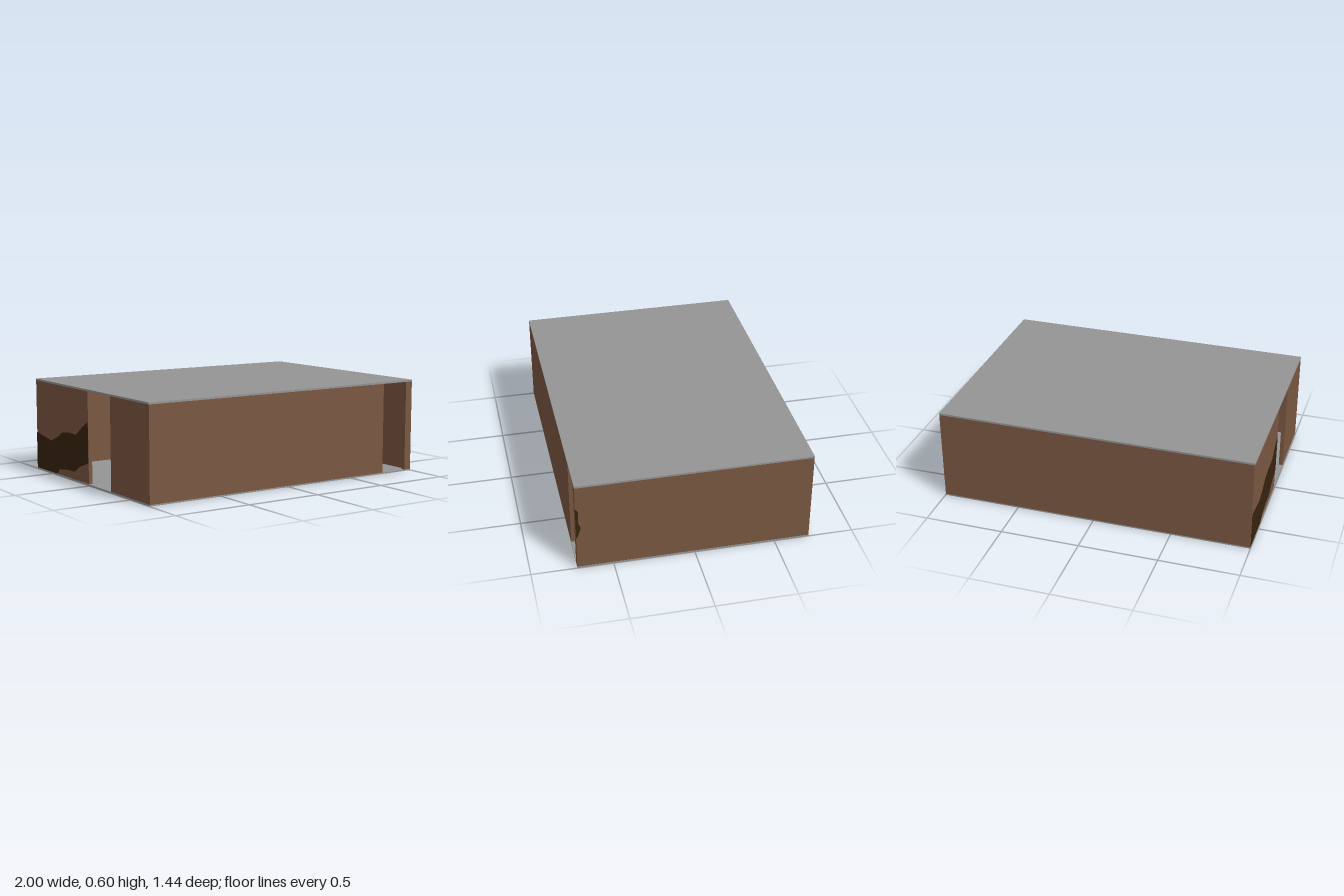
import * as THREE from 'three';

const material = (name, color) => {
  const m = new THREE.MeshStandardMaterial({ color });
  m.name = name;
  return m;
};

export function createModel() {
  const group = new THREE.Group();
  group.name = 'flatRoofedBuilding';
  const brown = material('wall brown', 0x7a5741);
  const grey = material('slab grey', 0x959595);
  const dark = material('stain dark brown', 0x38240f);

  const X = 0.998, Z = 0.72, T = 0.025; // half width, half depth, wall thickness
  const Y0 = 0.009, Y1 = 0.588;         // floor top and roof underside

  // Box given by its limits on each axis
  function box(name, mat, x0, x1, y0, y1, z0, z1) {
    const mesh = new THREE.Mesh(new THREE.BoxGeometry(x1 - x0, y1 - y0, z1 - z0), mat);
    mesh.position.set((x0 + x1) / 2, (y0 + y1) / 2, (z0 + z1) / 2);
    mesh.name = name;
    group.add(mesh);
  }
  const wall = (name, x0, x1, z0, z1) => box(name, brown, x0, x1, Y0, Y1, z0, z1);

  // Floor and roof slabs
  box('floor', grey, -1, 1, 0, Y0, -Z, Z);
  box('roof', grey, -1, 1, Y1, 0.6, -Z, Z);

  // Outer walls, with full-height doorways in the front and one side
  wall('backWall', -X, X, -Z, -Z + T);
  wall('frontWallLong', -X, 0.757, Z - T, Z);
  wall('frontWallShort', 0.948, X, Z - T, Z);
  wall('solidSideWall', X - T, X, -Z + T, Z - T);
  wall('doorSideWallBack', -X, -X + T, -Z + T, -0.01);
  wall('doorSideWallFront', -X, -X + T, 0.27, Z - T);

  // Inner partition beside the front doorway
  wall('partition', 0.515, 0.54, -Z + T, Z - T);

  // Irregular flat stains on the side walls, outlined in (z, y)
  function stain(name, side, points) {
    const shape = new THREE.Shape(points.map(([z, y]) => new THREE.Vector2(-side * z, y)));
    const mesh = new THREE.Mesh(new THREE.ShapeGeometry(shape), dark);
    mesh.rotation.y = side * Math.PI / 2;
    mesh.position.x = side;
    mesh.name = name;
    group.add(mesh);
  }
  stain('longStain', -1, [
    [-0.72, Y0], [-0.434, Y0], [-0.40, 0.04], [-0.31, 0.055], [-0.194, 0.06],
    [-0.114, 0.105], [-0.01, 0.14], [-0.01, 0.40], [-0.08, 0.36], [-0.17, 0.297],
    [-0.263, 0.30], [-0.366, 0.285], [-0.40, 0.26], [-0.514, 0.216], [-0.72, 0.245],
  ]);
  stain('smallStain', 1, [
    [0.72, 0.22], [0.705, 0.25], [0.69, 0.30], [0.704, 0.335], [0.703, 0.42], [0.72, 0.44],
  ]);

  return group;
}
